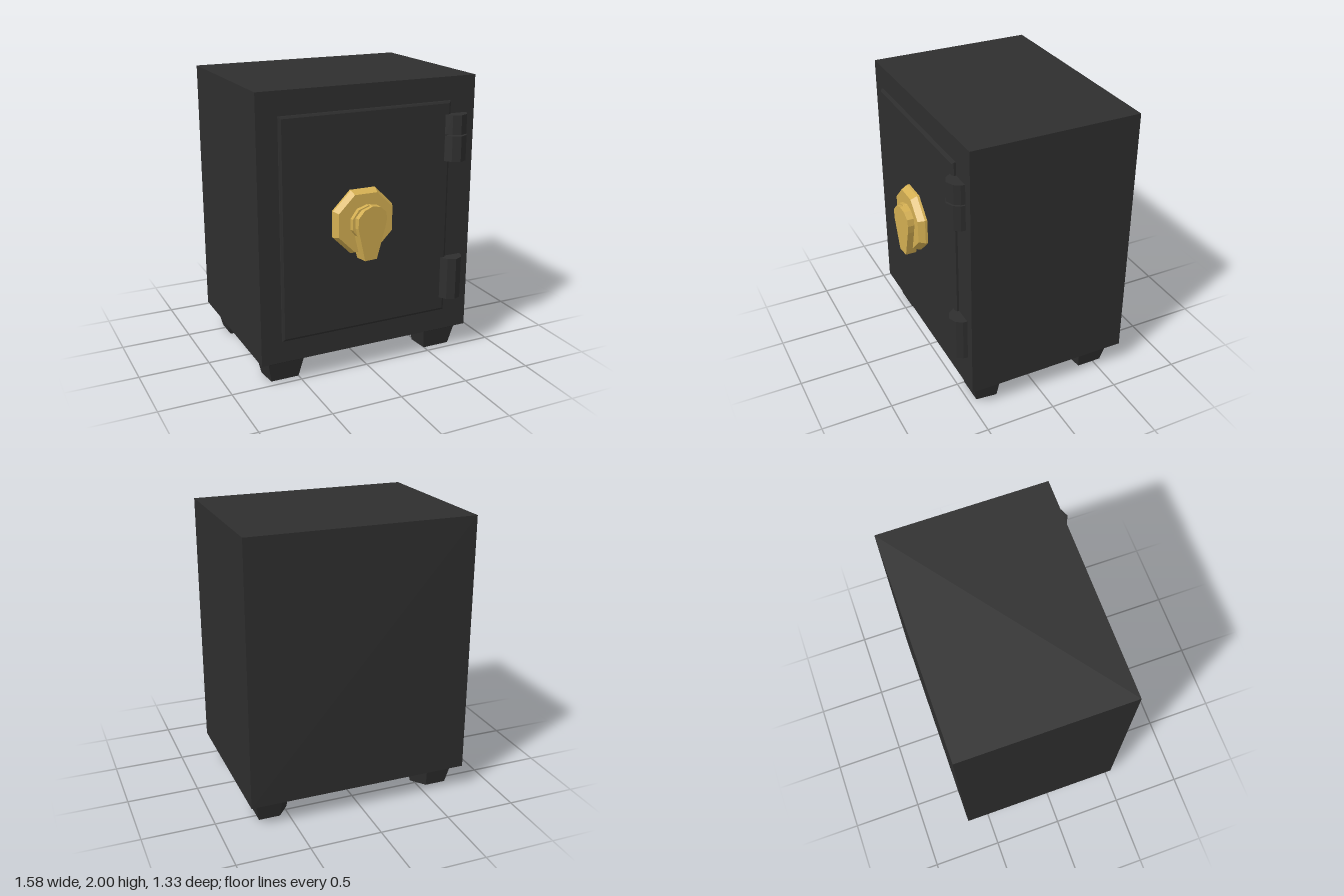
import * as THREE from 'three';

// Lofted convex solid: rings are equal-length lists of [x, y, z], counter-clockwise seen from the last ring
function loft(rings) {
  const pos = [];
  const tri = (a, b, c) => pos.push(...a, ...b, ...c);
  const n = rings[0].length;
  for (let r = 0; r < rings.length - 1; r++) {
    for (let i = 0; i < n; i++) {
      const j = (i + 1) % n, lo = rings[r], hi = rings[r + 1];
      tri(lo[i], lo[j], hi[j]);
      tri(lo[i], hi[j], hi[i]);
    }
  }
  const first = rings[0], last = rings[rings.length - 1];
  for (let i = 1; i < n - 1; i++) {
    tri(first[0], first[i + 1], first[i]);
    tri(last[0], last[i], last[i + 1]);
  }
  const g = new THREE.BufferGeometry();
  g.setAttribute('position', new THREE.Float32BufferAttribute(pos, 3));
  g.computeVertexNormals();
  return g;
}

// Regular polygon ring in the xy plane, flat sides at left and right
function polygon(cx, cy, radius, sides, z) {
  return Array.from({ length: sides }, (_, i) => {
    const a = ((i + 0.5) / sides) * Math.PI * 2;
    return [cx + radius * Math.cos(a), cy + radius * Math.sin(a), z];
  });
}

export function createModel() {
  const group = new THREE.Group();
  const iron = new THREE.MeshStandardMaterial({ color: 0x2e2e2e });
  iron.name = 'black iron';
  const brass = new THREE.MeshStandardMaterial({ color: 0xd4af52 });
  brass.name = 'brass';
  const add = (name, geometry, material) => {
    const mesh = new THREE.Mesh(geometry, material);
    mesh.name = name;
    group.add(mesh);
    return mesh;
  };

  // Cabinet
  add('cabinet', new THREE.BoxGeometry(1.58, 1.835, 1.18), iron).position.set(0, 1.0825, -0.075);

  // Door with a bevelled rim
  const rect = (inset, z) => {
    const l = -0.645 + inset, r = 0.595 - inset, b = 0.325 + inset, t = 1.84 - inset;
    return [[l, b, z], [r, b, z], [r, t, z], [l, t, z]];
  };
  add('door', loft([rect(0, 0.5), rect(0, 0.53), rect(0.015, 0.538)]), iron);

  // Hinge barrels, as rounded sections running upwards
  const section = [[0.725, 0.5], [0.72, 0.545], [0.695, 0.585], [0.64, 0.61], [0.585, 0.585], [0.553, 0.54], [0.55, 0.5]];
  const hinge = (name, y0, y1, depth) => {
    const ring = (y) => section.map(([x, z]) => [x, y, 0.5 + (z - 0.5) * depth]);
    // Section runs clockwise seen from above when x falls with z rising, so loft downwards if needed
    add(name, loft([ring(y0), ring(y1)].map((r) => r.slice().reverse())), iron);
  };
  hinge('upperHingeTop', 1.615, 1.75, 0.95);
  hinge('upperHingeBottom', 1.43, 1.607, 1);
  hinge('lowerHinge', 0.425, 0.728, 1);

  // Dial: bevelled octagonal plate and collar
  const kx = -0.07, ky = 1.1;
  add('dialPlate', loft([
    polygon(kx, ky, 0.235, 8, 0.53),
    polygon(kx, ky, 0.235, 8, 0.555),
    polygon(kx, ky, 0.212, 8, 0.6),
  ]), brass);
  add('dialCollar', loft([
    polygon(-0.065, 1.1, 0.125, 10, 0.59),
    polygon(-0.068, 1.105, 0.118, 10, 0.63),
  ]), brass);

  // Teardrop handle with a sloping face
  const drop = [[-0.1, 0.85], [-0.01, 0.85], [0.05, 1.06], [0.062, 1.12], [0.055, 1.17], [0.01, 1.21],
    [-0.05, 1.222], [-0.11, 1.2], [-0.155, 1.15], [-0.155, 1.08]];
  const back = drop.map(([x, y]) => [x - (x < -0.05 ? 0.018 : 0), y, 0.57]);
  const face = drop.map(([x, y]) => [x, y, 0.651 - 0.08 * x + 0.02 * (y - 1.1)]);
  add('handle', loft([back, face]), brass);

  // Feet: tapered pentagons with a small flare under the cabinet
  const foot = (name, cx, cz, outline) => {
    const ring = (s, y) => outline.map(([x, z]) => [cx + x * s, y, cz + z * s]);
    add(name, loft([ring(1, 0), ring(1.27, 0.14), ring(1.42, 0.168)]), iron);
  };
  const frontOutline = [[-0.1, 0.11], [0.1, 0.11], [0.115, -0.04], [0, -0.12], [-0.115, -0.04]];
  const backOutline = [[0.11, 0.08], [0.11, -0.1], [-0.04, -0.1], [-0.12, 0], [-0.04, 0.1]];
  for (const [side, s] of [['Left', 1], ['Right', -1]]) {
    foot('front' + side + 'Foot', s * 0.6, 0.335, frontOutline);
    const outline = s > 0 ? backOutline : backOutline.map(([x, z]) => [-x, z]).reverse();
    foot('back' + side + 'Foot', s * 0.6, -0.46, outline);
  }
  return group;
}
